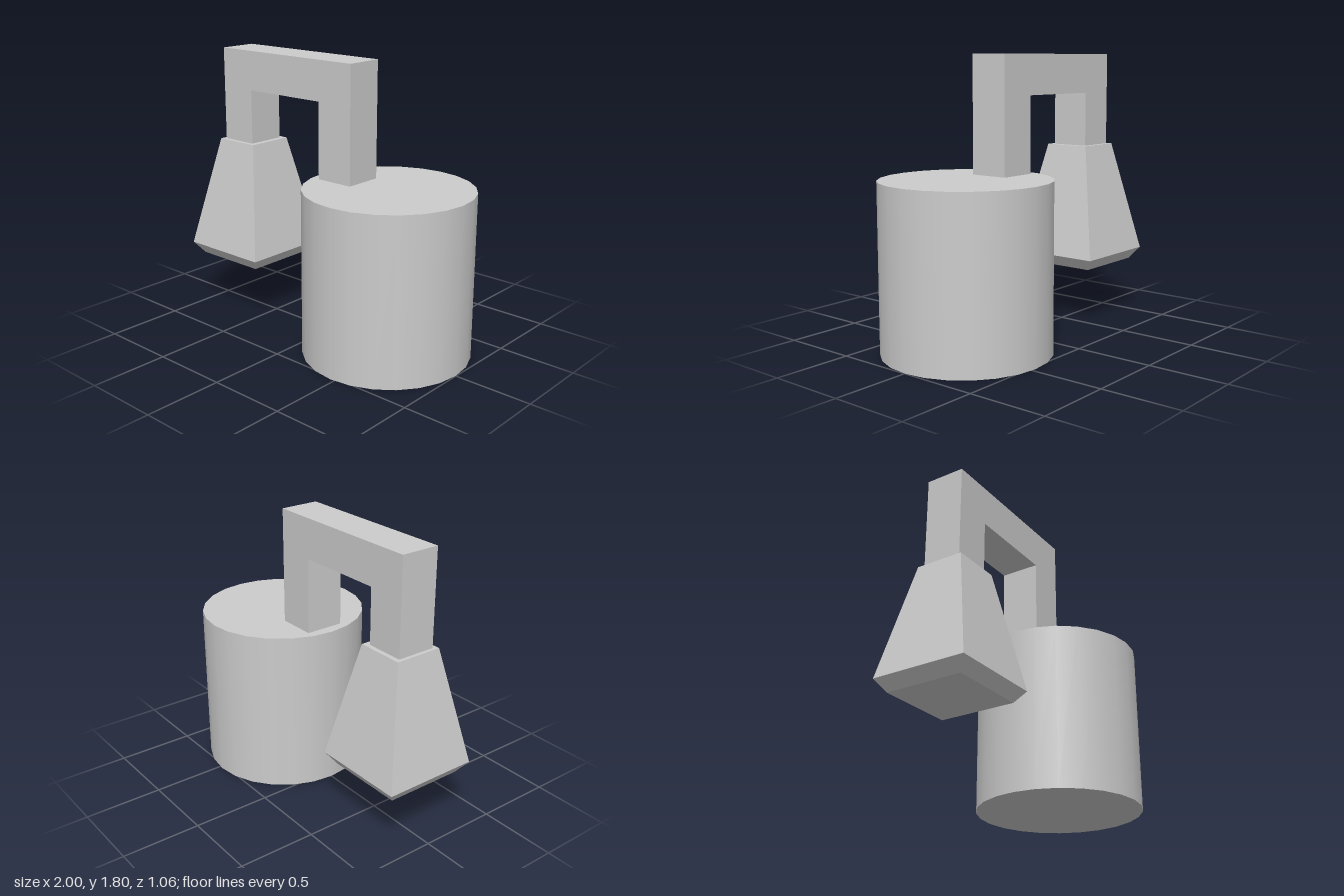
import * as THREE from 'three';

export function createModel() {
  const model = new THREE.Group();
  const smooth = new THREE.MeshStandardMaterial({ color: 0xcccccc });
  const flat = new THREE.MeshStandardMaterial({ color: 0xcccccc, flatShading: true });

  const add = (name, geometry, material, x, y, z) => {
    const mesh = new THREE.Mesh(geometry, material);
    mesh.name = name;
    mesh.position.set(x, y, z);
    model.add(mesh);
  };

  // Round drum standing on the ground
  add('drum', new THREE.CylinderGeometry(0.528, 0.528, 1.057, 24), smooth, 0.47, 0.5285, 0);

  // Square bent arm: one outline, from the drum up, across and down to the head
  const outline = [
    [0.267, 1.057], [0.267, 1.797], [-0.825, 1.797], [-0.825, 1.19],
    [-0.575, 1.19], [-0.575, 1.543], [0.014, 1.543], [0.014, 1.057],
  ].map(([x, y]) => new THREE.Vector2(x, y));
  const arm = new THREE.ExtrudeGeometry(new THREE.Shape(outline), { depth: 0.252, bevelEnabled: false });
  add('arm', arm, flat, 0, 0, -0.128);

  // Hanging four-sided head: [half width, height], closed at both ends
  const profile = [[0, 0.38], [0.25, 0.38], [0.307, 0.457], [0.155, 1.19], [0, 1.19]]
    .map(([half, y]) => new THREE.Vector2(half * Math.SQRT2, y));
  const head = new THREE.LatheGeometry(profile, 4).rotateY(Math.PI / 4);
  add('head', head, flat, -0.693, 0, -0.002);

  return model;
}
